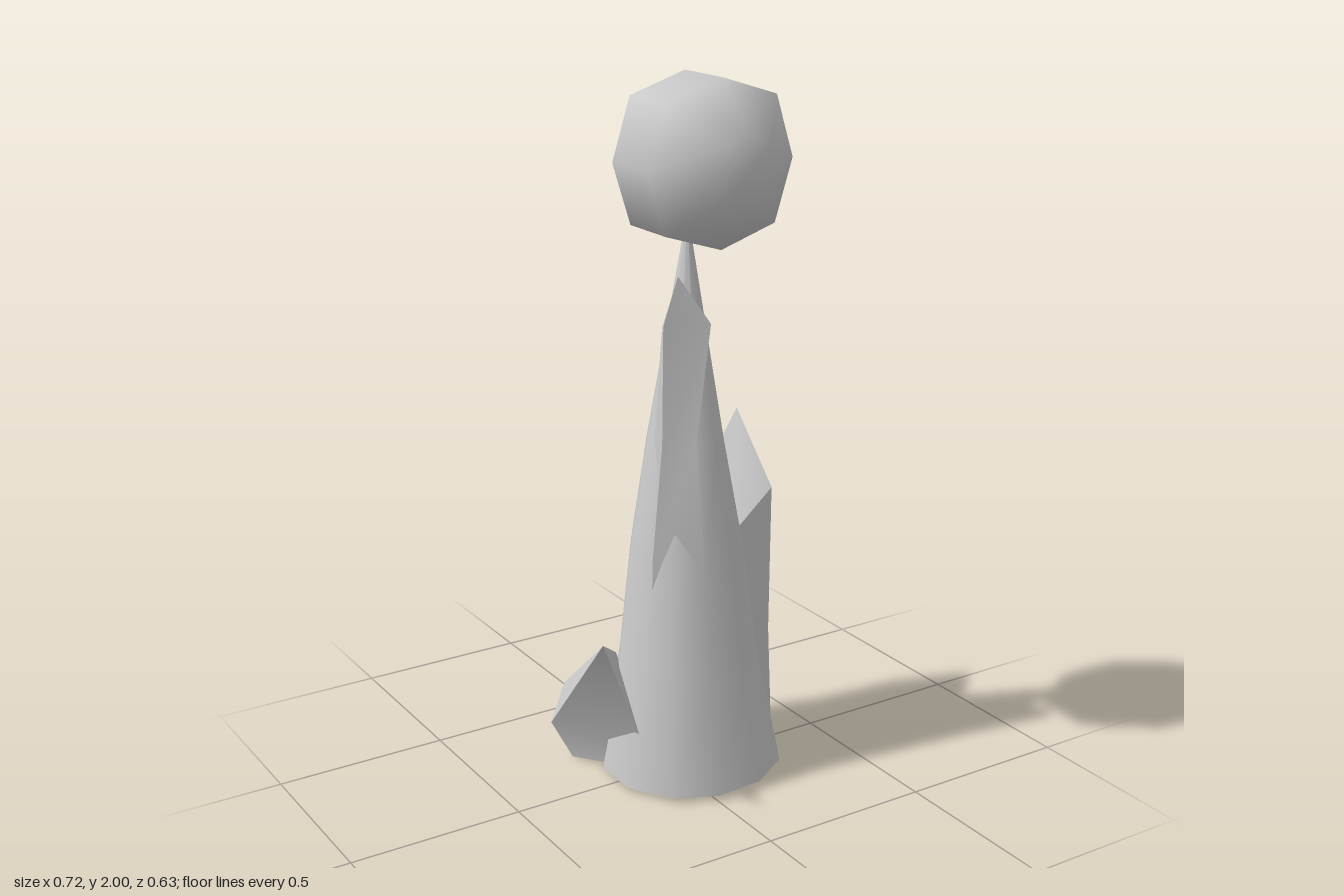
import * as THREE from 'three';
import { toCreasedNormals } from 'three/addons/utils/BufferGeometryUtils.js';

const material = new THREE.MeshStandardMaterial({ color: 0xcccccc });

// Joins rings (bottom to top, each counterclockwise from above) and ends in a tip.
function crystal(rings, tip, crease) {
  const n = rings[0].length;
  const positions = rings.flat(2);
  const base = [0, 1, 2].map(k => rings[0].reduce((s, p) => s + p[k], 0) / n);
  positions.push(...tip, ...base);
  const tipId = rings.length * n, baseId = tipId + 1, top = tipId - n;
  const index = [];
  for (let i = 0; i < n; i++) {
    const j = (i + 1) % n;
    for (let r = 0; r < rings.length - 1; r++) {
      const a = r * n + i, b = r * n + j;
      index.push(a, b, b + n, a, b + n, a + n);
    }
    index.push(top + i, top + j, tipId, j, i, baseId);
  }
  const geometry = new THREE.BufferGeometry();
  geometry.setAttribute('position', new THREE.Float32BufferAttribute(positions, 3));
  geometry.setIndex(index);
  return toCreasedNormals(geometry, crease);
}

export function createModel() {
  const group = new THREE.Group();
  const add = (name, geometry) => {
    const mesh = new THREE.Mesh(geometry, material);
    mesh.name = name;
    group.add(mesh);
    return mesh;
  };

  // Central spire: rings as [height, radius, centre x, centre z]
  const spireRings = [
    [0.02, 0.262, 0.07, -0.005], [0.36, 0.2, 0.06, -0.005],
    [0.68, 0.162, 0.048, 0.005], [1.0, 0.108, 0.045, 0],
  ].map(([y, r, cx, cz]) => Array.from({ length: 12 }, (_, i) => {
    const t = (i + 0.5) / 12 * Math.PI * 2;
    const tilt = y < 0.1 ? 0.012 * Math.cos(t) : 0;
    return [cx + r * Math.cos(t), y + tilt, cz - r * Math.sin(t)];
  }));
  add('spire', crystal(spireRings, [0.05, 1.63, 0], 0.9));

  // Tall shard on the front of the spire
  add('tallShard', crystal([
    [[0.06, 0.3, 0.02], [-0.04, 0.3, 0], [-0.1, 0.3, 0.05], [0.02, 0.3, 0.1]],
    [[0.05, 0.68, 0.03], [-0.05, 0.68, 0], [-0.105, 0.68, 0.07], [0.003, 0.68, 0.163]],
    [[0.045, 1.02, 0.03], [-0.06, 1.02, 0.01], [-0.086, 1.02, 0.09], [-0.008, 1.03, 0.14]],
    [[0.045, 1.33, 0.04], [-0.055, 1.33, 0.04], [-0.082, 1.35, 0.09], [0.038, 1.35, 0.135]],
  ], [-0.04, 1.48, 0.095], 0.5));

  // Broad shard on the left side
  add('leftShard', crystal([
    [[0.335, 0.03, 0.025], [0.355, 0.03, -0.12], [0.25, 0.02, -0.215], [0.12, 0.03, -0.12], [0.2, 0.03, 0.03]],
    [[0.318, 0.37, 0.025], [0.325, 0.4, -0.11], [0.26, 0.43, -0.193], [0.13, 0.4, -0.1], [0.2, 0.37, 0.03]],
    [[0.345, 0.79, -0.008], [0.345, 0.83, -0.11], [0.255, 0.8, -0.217], [0.155, 0.74, -0.125], [0.19, 0.68, 0.015]],
  ], [0.33, 0.99, -0.168], 0.6));

  // Leaning shard on the right side
  add('rightShard', crystal([
    [[-0.05, 0.03, -0.12], [-0.17, 0.02, -0.25], [-0.215, 0, -0.2], [-0.1, 0.02, 0]],
    [[-0.1, 0.33, -0.14], [-0.175, 0.18, -0.318], [-0.265, 0.11, -0.235], [-0.1, 0.08, 0.03]],
  ], [-0.36, 0.56, 0.235], 0.6));

  // Orb above the spire, its axis pointing to the front
  const profile = [[0, -0.212], [0.095, -0.207], [0.228, -0.087], [0.228, 0.087], [0.095, 0.207], [0, 0.212]]
    .map(p => new THREE.Vector2(...p));
  const orbGeometry = new THREE.LatheGeometry(profile, 8);
  const pos = orbGeometry.attributes.position, normal = orbGeometry.attributes.normal;
  for (let i = 0; i < pos.count; i++) {
    // Diagonal columns bulge slightly; normals follow a sphere
    const k = Math.floor(i / profile.length) % 2 ? 1.035 : 0.965;
    pos.setXYZ(i, pos.getX(i) * k, pos.getY(i), pos.getZ(i) * k);
    const v = new THREE.Vector3().fromBufferAttribute(pos, i).normalize();
    normal.setXYZ(i, v.x, v.y, v.z);
  }
  const orb = add('orb', orbGeometry);
  orb.rotation.x = Math.PI / 2;
  orb.position.set(0.03, 1.78, 0.105);

  return group;
}
